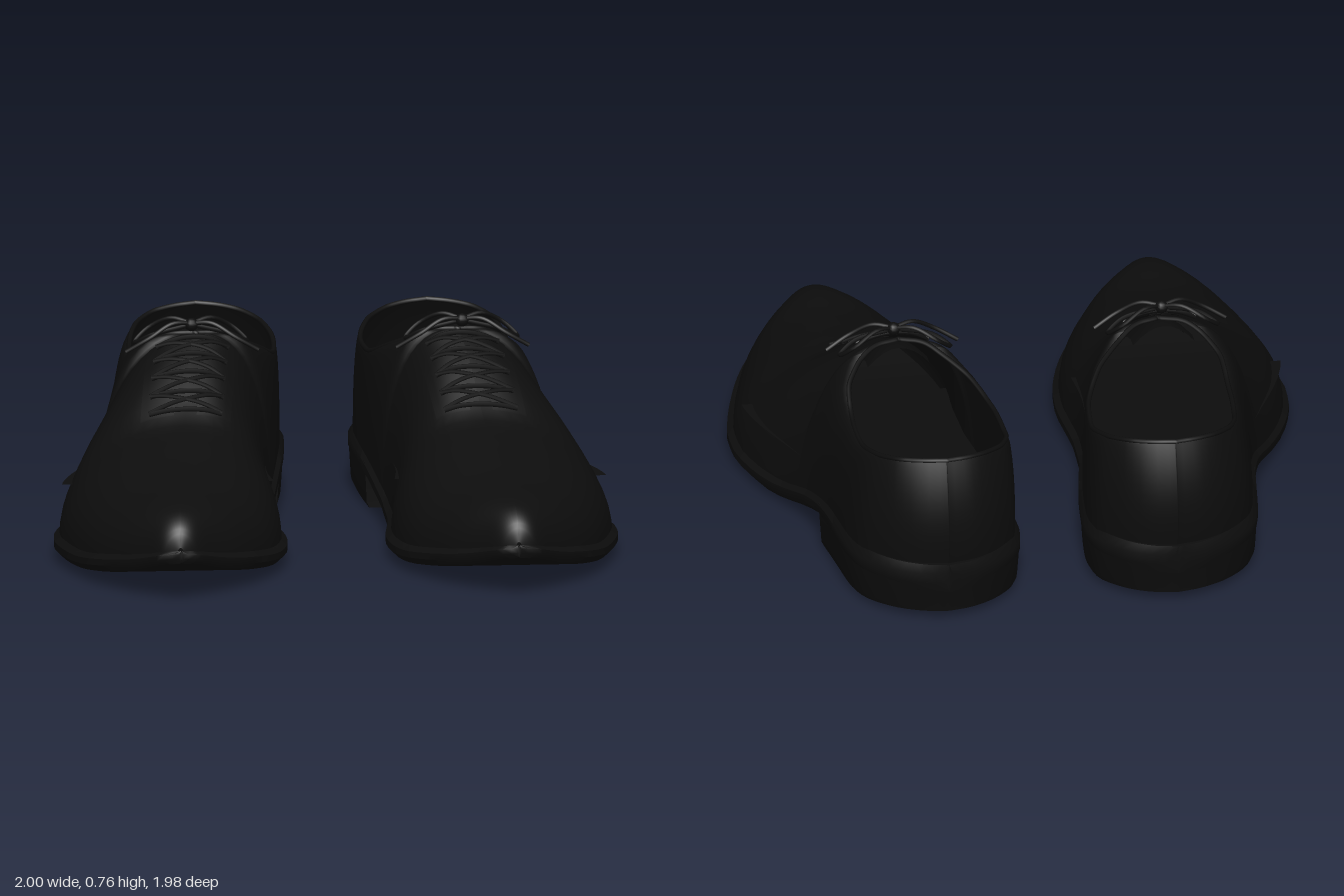
import * as THREE from 'three';
import { toCreasedNormals } from 'three/addons/utils/BufferGeometryUtils.js';

// Smooth monotone curve through [position, value] pairs
function curve(keys) {
  const k = [...keys].sort((a, b) => a[0] - b[0]);
  const d = k.slice(1).map((p, i) => (p[1] - k[i][1]) / (p[0] - k[i][0]));
  const m = k.map((_, i) => {
    if (i === 0) return d[0];
    if (i === k.length - 1) return d[i - 1];
    return d[i - 1] * d[i] > 0 ? (2 * d[i - 1] * d[i]) / (d[i - 1] + d[i]) : 0;
  });
  return (x) => {
    if (x <= k[0][0]) return k[0][1];
    if (x >= k[k.length - 1][0]) return k[k.length - 1][1];
    let i = 0;
    while (x > k[i + 1][0]) i++;
    const h = k[i + 1][0] - k[i][0], t = (x - k[i][0]) / h, t2 = t * t, t3 = t2 * t;
    return (2 * t3 - 3 * t2 + 1) * k[i][1] + (t3 - 2 * t2 + t) * h * m[i]
      + (3 * t2 - 2 * t3) * k[i + 1][1] + (t3 - t2) * h * m[i + 1];
  };
}

// Plan of the sole: inner and outer edge along z
const soleIn = curve([[-0.99, 0.41], [-0.97, 0.31], [-0.9, 0.2], [-0.8, 0.13], [-0.7, 0.115], [-0.55, 0.125],
  [-0.4, 0.145], [-0.25, 0.17], [-0.1, 0.195], [0.05, 0.2], [0.2, 0.185], [0.3, 0.175], [0.4, 0.18],
  [0.5, 0.2], [0.6, 0.235], [0.7, 0.29], [0.8, 0.36], [0.9, 0.46], [0.97, 0.54], [0.99, 0.6]]);
const soleOut = curve([[-0.99, 0.41], [-0.97, 0.51], [-0.9, 0.63], [-0.8, 0.71], [-0.7, 0.74], [-0.55, 0.76],
  [-0.4, 0.78], [-0.25, 0.815], [-0.1, 0.88], [0, 0.93], [0.1, 0.97], [0.2, 0.995], [0.3, 1], [0.4, 0.985],
  [0.6, 0.93], [0.7, 0.885], [0.8, 0.82], [0.9, 0.735], [0.97, 0.665], [0.99, 0.6]]);
// Side profile: sole underside, welt, and crest or opening edge
const soleY = curve([[0.99, 0.15], [0.85, 0.09], [0.7, 0.055], [0.5, 0.027], [0.3, 0.018], [0, 0.015],
  [-0.05, 0.02], [-0.2, 0.06], [-0.38, 0.105], [-0.99, 0.13]]);
const weltY = curve([[0.99, 0.195], [0.8, 0.14], [0.5, 0.095], [0.2, 0.09], [-0.05, 0.1], [-0.3, 0.17],
  [-0.5, 0.21], [-0.99, 0.24]]);
const crestY = curve([[0.965, 0.2], [0.955, 0.24], [0.93, 0.275], [0.87, 0.31], [0.77, 0.335], [0.64, 0.348],
  [0.5, 0.38], [0.35, 0.42], [0.2, 0.465], [0.1, 0.53], [0, 0.6], [-0.1, 0.66], [-0.18, 0.7], [-0.25, 0.655],
  [-0.37, 0.59], [-0.47, 0.555], [-0.6, 0.55], [-0.75, 0.58], [-0.97, 0.63]]);
// Both sides meet on the crest in front of the opening
const crestX = [[0.965, 0.6], [0.5, 0.57], [0.2, 0.53], [-0.1, 0.485], [-0.178, 0.465]];
const rimIn = curve([...crestX, [-0.2, 0.385], [-0.25, 0.31], [-0.35, 0.22], [-0.5, 0.165], [-0.65, 0.155],
  [-0.8, 0.185], [-0.9, 0.25], [-0.95, 0.33], [-0.97, 0.41]]);
const rimOut = curve([...crestX, [-0.2, 0.55], [-0.25, 0.62], [-0.35, 0.67], [-0.5, 0.675], [-0.65, 0.665],
  [-0.8, 0.635], [-0.9, 0.575], [-0.95, 0.49], [-0.97, 0.41]]);

// Stations from a to b, denser at both ends
const stations = (a, b, n) => Array.from({ length: n + 1 }, (_, i) => a + (b - a) * (0.5 - 0.5 * Math.cos((Math.PI * i) / n)));

// Surface through sections that run towards +z
function loft(sections, flip, closed = false) {
  const n = sections[0].length, pos = sections.flat(2), idx = [];
  const tri = (a, b, c) => (flip ? idx.push(a, c, b) : idx.push(a, b, c));
  for (let i = 0; i < sections.length - 1; i++) {
    for (let j = 0; j < (closed ? n : n - 1); j++) {
      const a = i * n + j, b = i * n + ((j + 1) % n);
      tri(a, a + n, b);
      tri(b, a + n, b + n);
    }
  }
  if (closed) {
    for (const start of [0, (sections.length - 1) * n]) {
      const sec = sections[start / n], c = pos.length / 3;
      for (let q = 0; q < 3; q++) pos.push(sec.reduce((t, p) => t + p[q], 0) / n);
      for (let j = 0; j < n; j++) {
        const a = start + j, b = start + ((j + 1) % n);
        start ? tri(c, b, a) : tri(c, a, b);
      }
    }
  }
  const g = new THREE.BufferGeometry();
  g.setAttribute('position', new THREE.Float32BufferAttribute(pos, 3));
  g.setIndex(idx);
  g.computeVertexNormals();
  return closed ? toCreasedNormals(g, 0.7) : g;
}

// Base edge of the upper, set in from the welt
function baseX(z, outer) {
  const zo = z * 1.022, a = soleIn(zo), b = soleOut(zo), c = (a + b) / 2;
  return c + ((outer ? b : a) - c) * 0.95;
}
const fullness = (z, outer) => (outer ? 1 : 0.75 + 0.25 * THREE.MathUtils.smoothstep(z, 0.2, 0.9));

// Point on the upper at angle a: 0 at the welt, PI/2 at the crest or opening edge
function upperPoint(z, a, outer) {
  const xt = (outer ? rimOut : rimIn)(z), xb = baseX(z, outer), yb = weltY(z) - 0.015;
  const v = Math.sin(a), w = THREE.MathUtils.smoothstep(-z, 0.6, 0.97);
  const x = xt + (xb - xt) * Math.pow(Math.max(0, Math.cos(a)), fullness(z, outer));
  return [x, yb + (crestY(z) - yb) * v, z + w * (-0.08 * v + 0.135 * v * v)];
}

// Point over the vamp at sideways offset dx from the crest
function onVamp(z, dx, lift) {
  const outer = dx > 0, f = Math.abs(dx / (baseX(z, outer) - rimIn(z)));
  const p = upperPoint(z, Math.acos(Math.min(1, Math.pow(f, 1 / fullness(z, outer)))), outer);
  return [p[0], p[1] + lift, z];
}

function createShoe(s, leather, soleMat, laceMat) {
  const shoe = new THREE.Group();
  const add = (name, geo, mat) => {
    const m = new THREE.Mesh(geo, mat);
    m.name = name;
    shoe.add(m);
  };
  const side = (secs) => secs.map((sec) => sec.map(([x, y, z]) => [s * x, y, z]));
  const mirrored = s < 0;
  const tube = (name, pts, r, mat, closed = false) => {
    const c = new THREE.CatmullRomCurve3(pts.map(([x, y, z]) => new THREE.Vector3(s * x, y, z)), closed);
    add(name, new THREE.TubeGeometry(c, pts.length * 5, r, 6, closed), mat);
  };

  // Sole with a rounded welt
  add('sole', loft(side(stations(-0.99, 0.99, 48).map((z) => {
    const a = soleIn(z), b = soleOut(z), r = Math.min(0.025, (b - a) / 2), y0 = soleY(z), y1 = weltY(z), h = y1 - y0;
    return [[a + r, y0, z], [a, y0 + h * 0.35, z], [a, y0 + h * 0.7, z], [a + r, y1, z],
      [b - r, y1, z], [b, y0 + h * 0.7, z], [b, y0 + h * 0.35, z], [b - r, y0, z]];
  })), mirrored, true), soleMat);

  // Heel block, slightly narrower at the ground
  add('heel', loft(side(stations(-0.985, -0.375, 24).map((z) => {
    const a = soleIn(z), b = soleOut(z), r = Math.min(0.02, (b - a) / 2), y = 0.035 * (-0.4 - z) / 0.57;
    const y0 = Math.max(0, y), zb = z + 0.025 * THREE.MathUtils.clamp((-0.68 - z) / 0.3, -0.8, 1);
    return [[a + r, y0, zb], [a + r / 2, y0 + 0.02, zb], [a + 0.002, 0.17, z],
      [b - 0.002, 0.17, z], [b - r / 2, y0 + 0.02, zb], [b - r, y0, zb]];
  })), mirrored, true), soleMat);

  // Upper: inner and outer halves, with extra stations at the opening
  const zs = [...stations(-0.97, 0.965, 56), -0.178, -0.182, -0.188, -0.195, -0.205, -0.22, -0.24].sort((a, b) => a - b);
  for (const outer of [false, true]) {
    const secs = zs.map((z) => Array.from({ length: 15 }, (_, j) => upperPoint(z, (j / 14) * Math.PI / 2, outer)));
    add(outer ? 'upperOuterSide' : 'upperInnerSide', loft(side(secs), mirrored !== outer), leather);
  }

  // Rolled edge of the opening, insole and tongue
  const rimZ = zs.filter((z) => z <= -0.178);
  const rim = [...rimZ.map((z) => upperPoint(z, Math.PI / 2, false)),
    ...rimZ.slice(1, -1).reverse().map((z) => upperPoint(z, Math.PI / 2, true))];
  tube('openingEdge', rim, 0.009, leather, true);
  add('insole', loft(side(stations(-0.95, 0.2, 20).map((z) =>
    [[baseX(z, false) + 0.01, 0.25, z], [baseX(z, true) - 0.01, 0.25, z]])), mirrored), leather);
  add('tongue', loft(side([-0.25, -0.2, -0.12, 0].map((z, i) => Array.from({ length: 9 }, (_, j) => {
    const t = j / 4 - 1;
    return [0.475 + t * 0.11, [0.705, 0.7, 0.665, 0.59][i] - 0.07 * t * t, z];
  }))), mirrored), leather);

  // Lace facings, thin flaps either side of the crest
  for (const k of [-1, 1]) {
    const secs = stations(-0.16, 0.17, 10).map((z) => Array.from({ length: 7 }, (_, j) => onVamp(z, k * (0.04 + 0.02 * j), 0.008)));
    add(k < 0 ? 'innerFacing' : 'outerFacing', loft(side(secs), mirrored === k < 0), leather);
  }

  // Laces: cross bars and diagonals over the tongue
  const rows = [0.16, 0.09, 0.015, -0.06, -0.13], spread = [-0.13, -0.08, -0.03, 0.03, 0.08, 0.13];
  rows.forEach((z, i) => {
    tube('laceBar', spread.map((dx) => onVamp(z, dx, 0.02)), 0.009, laceMat);
    if (i === rows.length - 1) return;
    for (const k of [-1, 1]) {
      tube('laceCross', spread.map((dx, j) => onVamp(z + (rows[i + 1] - z) * (j / 5), dx * k, 0.024)), 0.008, laceMat);
    }
  });

  // Bow: knot, two loops and two loose ends
  const cx = 0.48, knot = new THREE.SphereGeometry(0.024, 10, 8);
  knot.translate(s * cx, 0.735, -0.165);
  add('laceKnot', knot, laceMat);
  for (const k of [-1, 1]) {
    tube('laceLoop', [[cx, 0.74, -0.165], [cx + k * 0.07, 0.752, -0.2], [cx + k * 0.15, 0.71, -0.23],
      [cx + k * 0.2, 0.665, -0.2], [cx + k * 0.14, 0.7, -0.165], [cx, 0.735, -0.165]], 0.008, laceMat);
    tube('laceEnd', [[cx, 0.74, -0.165], [cx + k * 0.07, 0.745, -0.14], [cx + k * 0.15, 0.7, -0.12],
      [cx + k * 0.235, 0.648, -0.13]], 0.008, laceMat);
  }
  return shoe;
}

export function createModel() {
  const mat = (name, color) => {
    const m = new THREE.MeshStandardMaterial({ color, side: THREE.DoubleSide });
    m.name = name;
    return m;
  };
  const black = mat('black leather', 0x0d0d0d);
  const model = new THREE.Group();
  model.name = 'laceUpShoes';
  for (const s of [1, -1]) {
    const shoe = createShoe(s, black, black, black);
    shoe.name = s > 0 ? 'leftShoe' : 'rightShoe';
    model.add(shoe);
  }
  return model;
}
